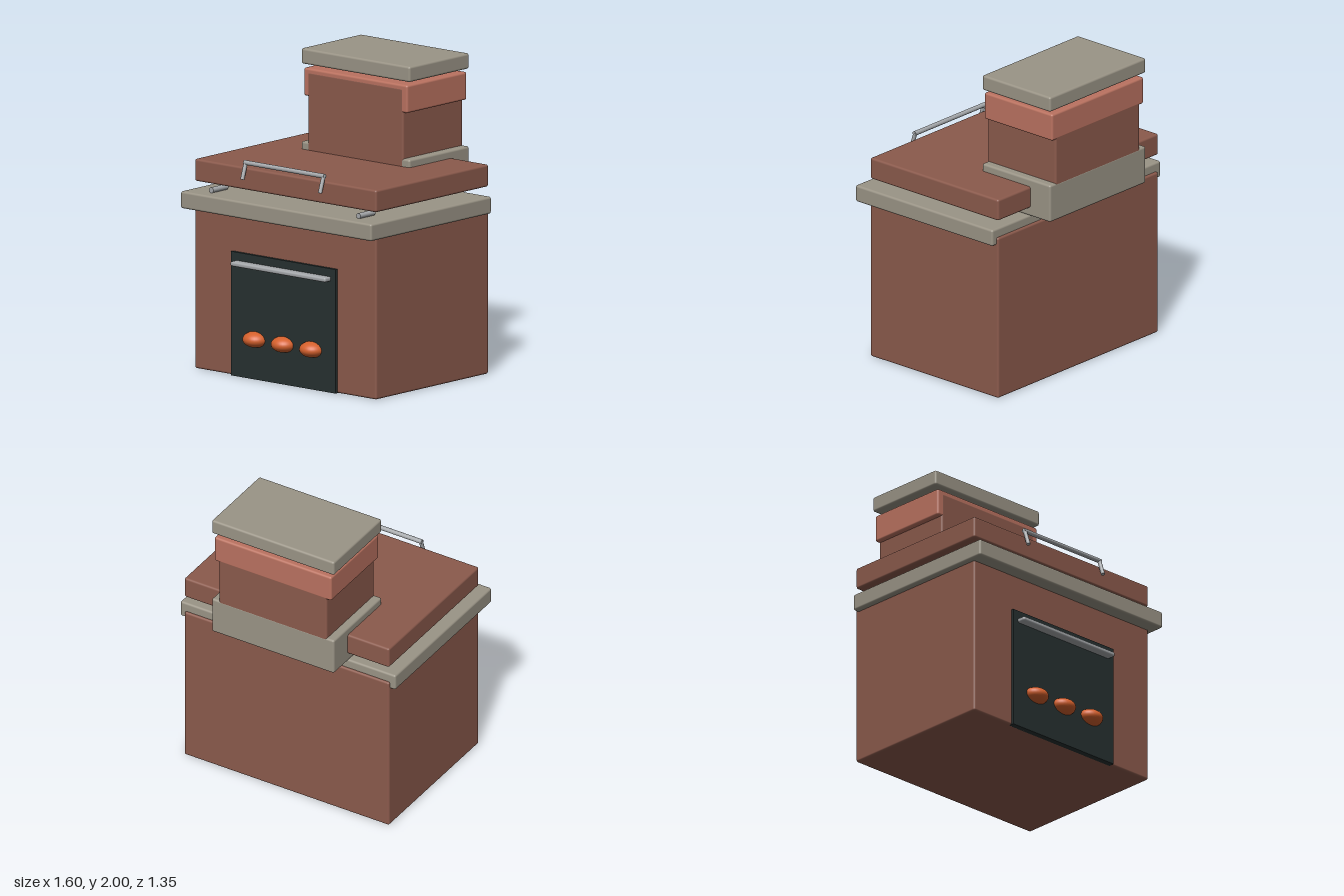
import * as THREE from 'three';
import { RoundedBoxGeometry } from 'three/addons/geometries/RoundedBoxGeometry.js';

const mat = (color) => new THREE.MeshStandardMaterial({ color });

export function createModel() {
  const model = new THREE.Group();
  const brick = mat(0x8b5a4c), stone = mat(0x9a9486), clay = mat(0xba7260);
  const dark = mat(0x263030), metal = mat(0xa6a9ac), ember = mat(0xd4602c);

  const add = (name, geometry, material) => {
    const mesh = new THREE.Mesh(geometry, material);
    mesh.name = name;
    model.add(mesh);
    return mesh;
  };

  // Soft-edged block, symmetric in x, given by its limits
  const block = (name, halfW, y0, y1, z0, z1, material, radius = 0.014) => {
    const mesh = add(name, new RoundedBoxGeometry(2 * halfW, y1 - y0, z1 - z0, 3, radius), material);
    mesh.position.set(0, (y0 + y1) / 2, (z0 + z1) / 2);
    return mesh;
  };

  // Round bar between two points
  const rod = (name, a, b, r) => {
    const from = new THREE.Vector3(...a), to = new THREE.Vector3(...b);
    const dir = to.clone().sub(from);
    const mesh = add(name, new THREE.CylinderGeometry(r, r, dir.length(), 16), metal);
    mesh.position.copy(from).add(to).multiplyScalar(0.5);
    mesh.quaternion.setFromUnitVectors(new THREE.Vector3(0, 1, 0), dir.normalize());
    return mesh;
  };

  // Oven body, worktop and raised lid
  block('body', 0.76, 0, 1.09, -0.505, 0.58, brick);
  block('worktop', 0.798, 1.04, 1.15, -0.49, 0.672, stone);
  block('lid', 0.76, 1.207, 1.35, -0.505, 0.58, brick);

  // Chimney stack
  block('chimneyBase', 0.454, 1.15, 1.4, -0.672, -0.095, stone);
  block('chimneyShaft', 0.4, 1.26, 1.855, -0.671, -0.094, brick);
  block('chimneyCollar', 0.434, 1.697, 1.877, -0.672, -0.095, clay);
  block('chimneyCap', 0.454, 1.9, 2.0, -0.672, -0.095, stone);

  // Oven door with its handle
  const door = add('door', new THREE.BoxGeometry(0.874, 0.8, 0.04), dark);
  door.position.set(0, 0.4, 0.58);
  block('doorHandle', 0.398, 0.718, 0.748, 0.59, 0.656, metal, 0.012);

  // Glowing coals
  for (const x of [-0.237, 0, 0.237]) {
    const coal = add('coal', new THREE.SphereGeometry(1, 32, 20), ember);
    coal.scale.set(0.085, 0.052, 0.085);
    coal.position.set(x, 0.258, 0.59);
  }

  // Lid handle and the small pegs under the lid
  rod('lidHandleBar', [-0.335, 1.385, 0.585], [0.335, 1.385, 0.585], 0.015);
  for (const s of [-1, 1]) {
    rod('lidHandleLeg', [s * 0.325, 1.28, 0.62], [s * 0.325, 1.39, 0.584], 0.013);
    rod('lidPeg', [s * 0.615, 1.167, 0.44], [s * 0.615, 1.167, 0.584], 0.018);
  }

  return model;
}
